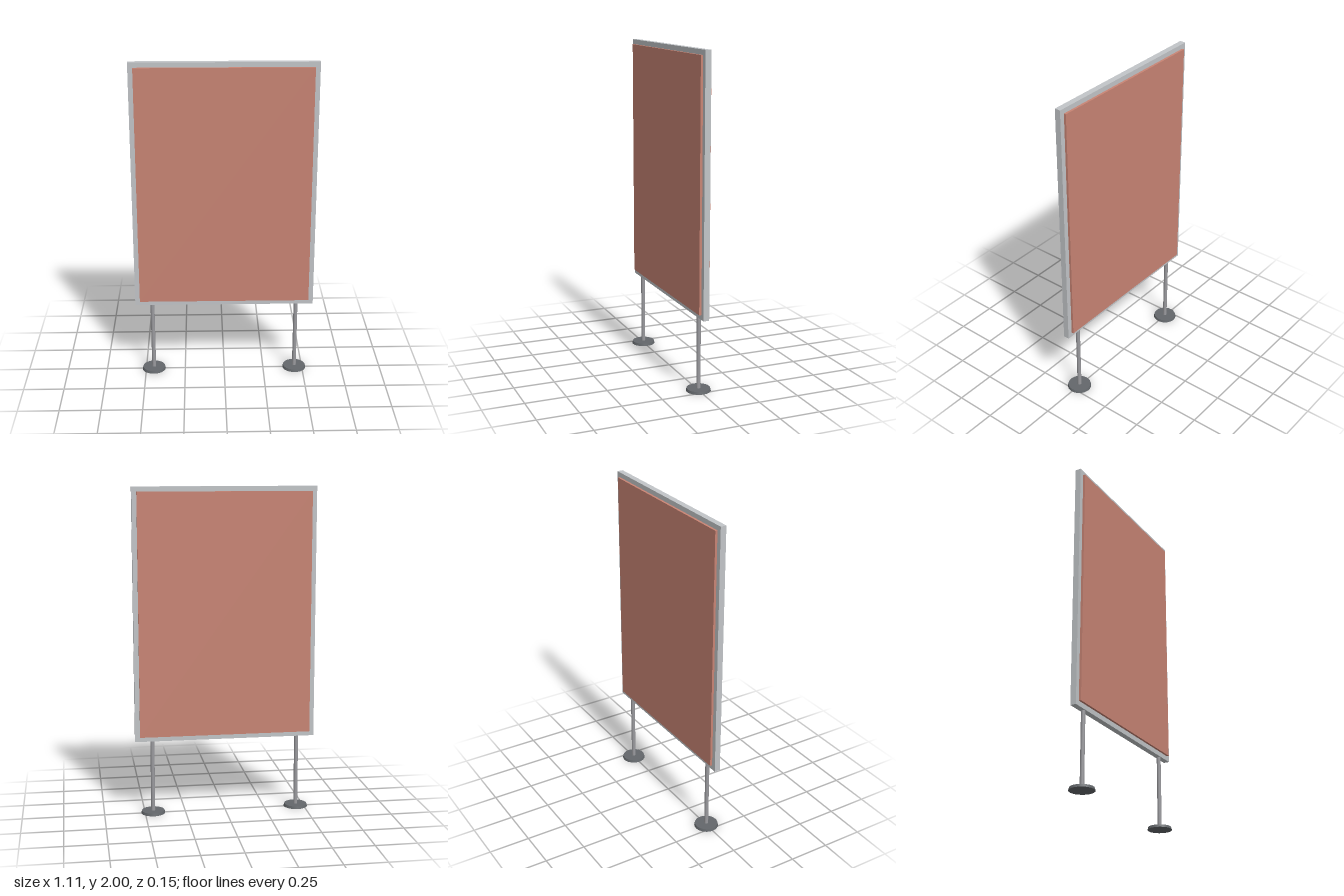
import * as THREE from 'three';

const mat = (color) => new THREE.MeshStandardMaterial({ color });

function rect(path, halfW, bottom, top) {
  path.moveTo(-halfW, bottom);
  path.lineTo(halfW, bottom);
  path.lineTo(halfW, top);
  path.lineTo(-halfW, top);
  path.closePath();
  return path;
}

export function createModel() {
  const group = new THREE.Group();
  const add = (parent, name, geometry, material, x = 0, y = 0, z = 0) => {
    const mesh = new THREE.Mesh(geometry, material);
    mesh.name = name;
    mesh.position.set(x, y, z);
    parent.add(mesh);
    return mesh;
  };

  const frameMat = mat(0xc2c5c8);
  const panelMat = mat(0xc88474);
  const legMat = mat(0x9a9a9e);
  const footMat = mat(0x63676b);

  // Rectangular metal frame around the board
  const frameDepth = 0.036;
  const outline = rect(new THREE.Shape(), 0.556, 0.46, 2);
  outline.holes.push(rect(new THREE.Path(), 0.526, 0.49, 1.97));
  const frameGeo = new THREE.ExtrudeGeometry(outline, { depth: frameDepth, bevelEnabled: false });
  add(group, 'frame', frameGeo, frameMat, 0, 0, -frameDepth / 2);

  // Display board, standing proud of the frame on both faces
  add(group, 'displayPanel', new THREE.BoxGeometry(1.053, 1.481, 0.064), panelMat, 0, 1.23, 0);

  // Two round posts on disc feet
  const legGeo = new THREE.CylinderGeometry(0.0125, 0.0125, 0.45, 20);
  const footGeo = new THREE.CylinderGeometry(0.07, 0.074, 0.016, 24);
  for (const [side, x] of [['left', 0.45], ['right', -0.45]]) {
    const stand = new THREE.Group();
    stand.name = side + 'Stand';
    stand.position.x = x;
    add(stand, side + 'Leg', legGeo, legMat, 0, 0.236, 0);
    add(stand, side + 'Foot', footGeo, footMat, 0, 0.008, 0);
    group.add(stand);
  }

  return group;
}
